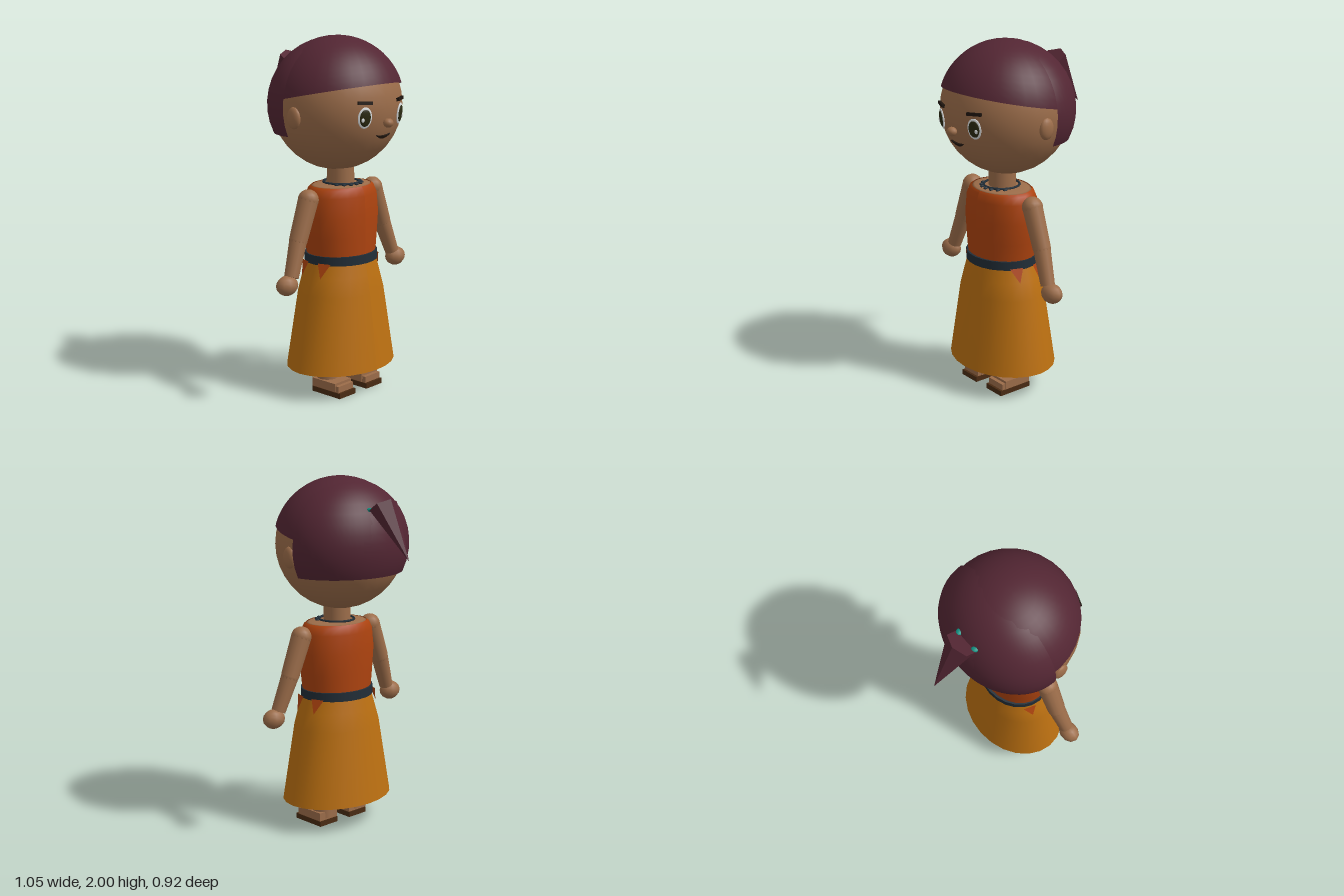
import * as THREE from 'three';

const mat = (name, color, side = THREE.FrontSide) => {
  const m = new THREE.MeshStandardMaterial({ color, side });
  m.name = name;
  return m;
};

export function createModel() {
  const skin = mat('skin', 0x9c6d4a);
  const hair = mat('hair', 0x532633, THREE.DoubleSide);
  const orange = mat('top orange', 0xad430f, THREE.DoubleSide);
  const ochre = mat('skirt ochre', 0xbc7011, THREE.DoubleSide);
  const navy = mat('navy', 0x222e38);
  const teal = mat('teal', 0x0f8f80);
  const sole = mat('sole brown', 0x4a2b13);
  const white = mat('eye white', 0xdcdfe0);
  const iris = mat('iris', 0x2b2a12);
  const dark = mat('dark brown', 0x20160f);

  const model = new THREE.Group();
  model.name = 'doll';
  const add = (name, geo, material, x = 0, y = 0, z = 0, parent = model) => {
    const m = new THREE.Mesh(geo, material);
    m.name = name;
    m.position.set(x, y, z);
    parent.add(m);
    return m;
  };
  const ball = (rx, ry, rz, w = 20, h = 14) => new THREE.SphereGeometry(1, w, h).scale(rx, ry, rz);

  // Open elliptical body lofted through rows of [y, rx, rz], top first
  const loft = (rows, sides = 24) => {
    const g = new THREE.CylinderGeometry(1, 1, 1, sides, rows.length - 1, true);
    const p = g.attributes.position;
    for (let i = 0; i < p.count; i++) {
      const [y, rx, rz] = rows[Math.floor(i / (sides + 1))];
      p.setXYZ(i, p.getX(i) * rx, y, p.getZ(i) * rz);
    }
    g.computeVertexNormals();
    return g;
  };

  // Ellipsoid shell from the crown down to an angle that depends on direction
  const shell = (rx, ry, rz, start, length, edge) => {
    const g = new THREE.SphereGeometry(1, 32, 12, start, length, 0, 1.5);
    const p = g.attributes.position, uv = g.attributes.uv;
    for (let i = 0; i < p.count; i++) {
      const phi = start + uv.getX(i) * length;
      const t = (1 - uv.getY(i)) * edge(phi);
      p.setXYZ(i, -Math.cos(phi) * Math.sin(t), Math.cos(t), Math.sin(phi) * Math.sin(t));
      g.attributes.normal.setXYZ(i, p.getX(i), p.getY(i), p.getZ(i));
    }
    return g.scale(rx, ry, rz);
  };

  // Round limb tapering between two points
  const limb = (name, a, b, ra, rb, material = skin) => {
    const A = new THREE.Vector3(...a), B = new THREE.Vector3(...b), d = A.clone().sub(B);
    const m = add(name, new THREE.CylinderGeometry(ra, rb, d.length(), 14), material);
    m.position.copy(A).add(B).multiplyScalar(0.5);
    m.quaternion.setFromUnitVectors(new THREE.Vector3(0, 1, 0), d.normalize());
    return m;
  };

  // Head
  const C = [0, 1.628, 0.068], R = [0.368, 0.366, 0.354];
  add('head', ball(...R, 28, 18), skin, ...C);
  add('nose', ball(0.031, 0.025, 0.027, 12, 8), skin, 0, 1.55, 0.435);

  // Group lying on the face surface, its z pointing outward
  const onFace = (name, x, y) => {
    const dx = x - C[0], dy = y - C[1];
    const dz = R[2] * Math.sqrt(1 - (dx / R[0]) ** 2 - (dy / R[1]) ** 2);
    const g = new THREE.Group();
    g.name = name;
    g.position.set(x, y, C[2] + dz);
    g.lookAt(x + dx / R[0] ** 2, y + dy / R[1] ** 2, C[2] + dz + dz / R[2] ** 2);
    model.add(g);
    return g;
  };

  // Hair: fringe cap cut by a sloping plane, and a longer back half
  add('hairCap', shell(0.379, 0.371, 0.367, 0, Math.PI * 2, (phi) => {
    const k = 0.205 * 0.367 * Math.sin(phi);
    return Math.acos(0.058 / Math.hypot(0.371, k)) - Math.atan2(k, 0.371);
  }), hair, 0, 1.629, 0.068);
  add('hairBack', shell(0.389, 0.362, 0.325, Math.PI, Math.PI,
    () => Math.acos(-0.157 / 0.362)), hair, 0, 1.629, 0.03);

  // Ponytail: six-sided cone hanging back and down
  const tail = add('ponytail', new THREE.ConeGeometry(0.07, 0.34, 6).toNonIndexed(), hair, 0, 1.72, -0.362);
  tail.geometry.computeVertexNormals();
  tail.quaternion.setFromUnitVectors(new THREE.Vector3(0, 1, 0), new THREE.Vector3(0, -0.28, -0.195).normalize());
  tail.scale.set(1.25, 1, 1);

  // Mouth
  const smile = new THREE.Shape();
  smile.moveTo(-0.056, 0.014);
  smile.quadraticCurveTo(0, -0.036, 0.056, 0.014);
  smile.quadraticCurveTo(0, -0.004, -0.056, 0.014);
  add('mouth', new THREE.ExtrudeGeometry(smile, { depth: 0.009, bevelEnabled: false }), dark, 0, 0, 0, onFace('mouthGroup', 0, 1.475));

  // Neck and necklace
  add('neck', new THREE.CylinderGeometry(0.075, 0.078, 0.14, 16), skin, 0, 1.235, 0.095);
  add('chest', ball(0.188, 0.014, 0.148, 24, 8), skin, 0, 1.178, 0.1);
  add('necklace', new THREE.TorusGeometry(0.1, 0.007, 6, 24).rotateX(Math.PI / 2), navy, 0, 1.193, 0.1);
  for (let i = -3; i <= 3; i++) {
    const a = i * 0.36;
    add('necklaceBead', ball(0.011, 0.008, 0.014, 8, 6), navy, Math.sin(a) * 0.112, 1.19, 0.1 + Math.cos(a) * 0.112);
  }

  // Clothes
  add('top', loft([[1.182, 0.188, 0.15], [1.17, 0.208, 0.16], [1.13, 0.228, 0.173],
    [1.02, 0.24, 0.18], [0.9, 0.226, 0.18], [0.77, 0.208, 0.178]]), orange, 0, 0, 0.1);
  add('skirt', loft([[0.77, 0.212, 0.18], [0.68, 0.24, 0.198], [0.585, 0.27, 0.216], [0.155, 0.343, 0.272]]), ochre, 0, 0, 0.1);
  add('belt', new THREE.CylinderGeometry(0.22, 0.22, 0.05, 24).scale(1, 1, 0.87), navy, 0, 0.78, 0.1);

  // Pointed cloth end hanging from the belt
  const point = new THREE.Shape([[-0.038, 0], [0.012, -0.085], [0.038, 0]].map((p) => new THREE.Vector2(...p)));
  const pointGeo = new THREE.ShapeGeometry(point);

  for (const s of [1, -1]) {
    const side = s > 0 ? 'left' : 'right';

    // Face features
    add(side + 'Ear', ball(0.025, 0.06, 0.045, 14, 10), skin, s * 0.362, 1.58, 0.085);
    const eye = onFace(side + 'Eye', s * 0.143, 1.586);
    add('eyeWhite', ball(0.042, 0.058, 0.008), white, 0, 0, 0.002, eye);
    add('iris', ball(0.033, 0.046, 0.009), iris, 0, 0, 0.006, eye);
    add('highlight', ball(0.01, 0.012, 0.004, 10, 6), white, s * 0.016, -0.01, 0.014, eye);
    const brow = onFace(side + 'Brow', s * 0.143, 1.665);
    add('brow', new THREE.BoxGeometry(0.085, 0.017, 0.016), dark, 0, 0, 0.004, brow).rotation.z = s * 0.05;

    // Hair tie
    add(side + 'HairTie', ball(0.018, 0.012, 0.023, 10, 8), teal, s * 0.061, 1.838, -0.228).rotation.y = s * 0.4;

    // Arm
    const shoulder = [s * 0.268, 1.127, 0.1], elbow = [s * 0.352, 0.915, 0.103], wrist = [s * 0.425, 0.725, 0.12];
    add(side + 'Shoulder', ball(0.057, 0.057, 0.058, 14, 10), skin, ...shoulder);
    limb(side + 'UpperArm', shoulder, elbow, 0.057, 0.051);
    add(side + 'Elbow', ball(0.05, 0.05, 0.05, 14, 10), skin, ...elbow);
    limb(side + 'Forearm', elbow, wrist, 0.049, 0.04);
    add(side + 'Hand', ball(0.067, 0.055, 0.053, 10, 8), skin, s * 0.458, 0.687, 0.12);

    // Leg and foot
    limb(side + 'Leg', [s * 0.115, 0.6, 0.1], [s * 0.115, 0.04, 0.1], 0.075, 0.058);
    add(side + 'Sole', new THREE.BoxGeometry(0.134, 0.03, 0.21), sole, s * 0.115, 0.015, 0.15);
    add(side + 'Foot', new THREE.BoxGeometry(0.125, 0.038, 0.19), skin, s * 0.115, 0.047, 0.146);
    add(side + 'Instep', new THREE.BoxGeometry(0.136, 0.048, 0.17), skin, s * 0.115, 0.056, 0.133);

    // Cloth ends on the hip, leaning out with the skirt
    for (const [z, flip] of [[0.165, 1], [0.03, -1]]) {
      const end = new THREE.Group();
      end.name = side + 'ClothEnd';
      end.position.set(s * 0.208, 0.768, z);
      end.rotation.y = s * (Math.PI / 2 - (z - 0.1) * 5);
      add('clothEnd', pointGeo, orange, 0, 0, 0.008, end).rotation.x = -0.32;
      end.scale.x = flip * s;
      model.add(end);
    }
  }
  return model;
}
